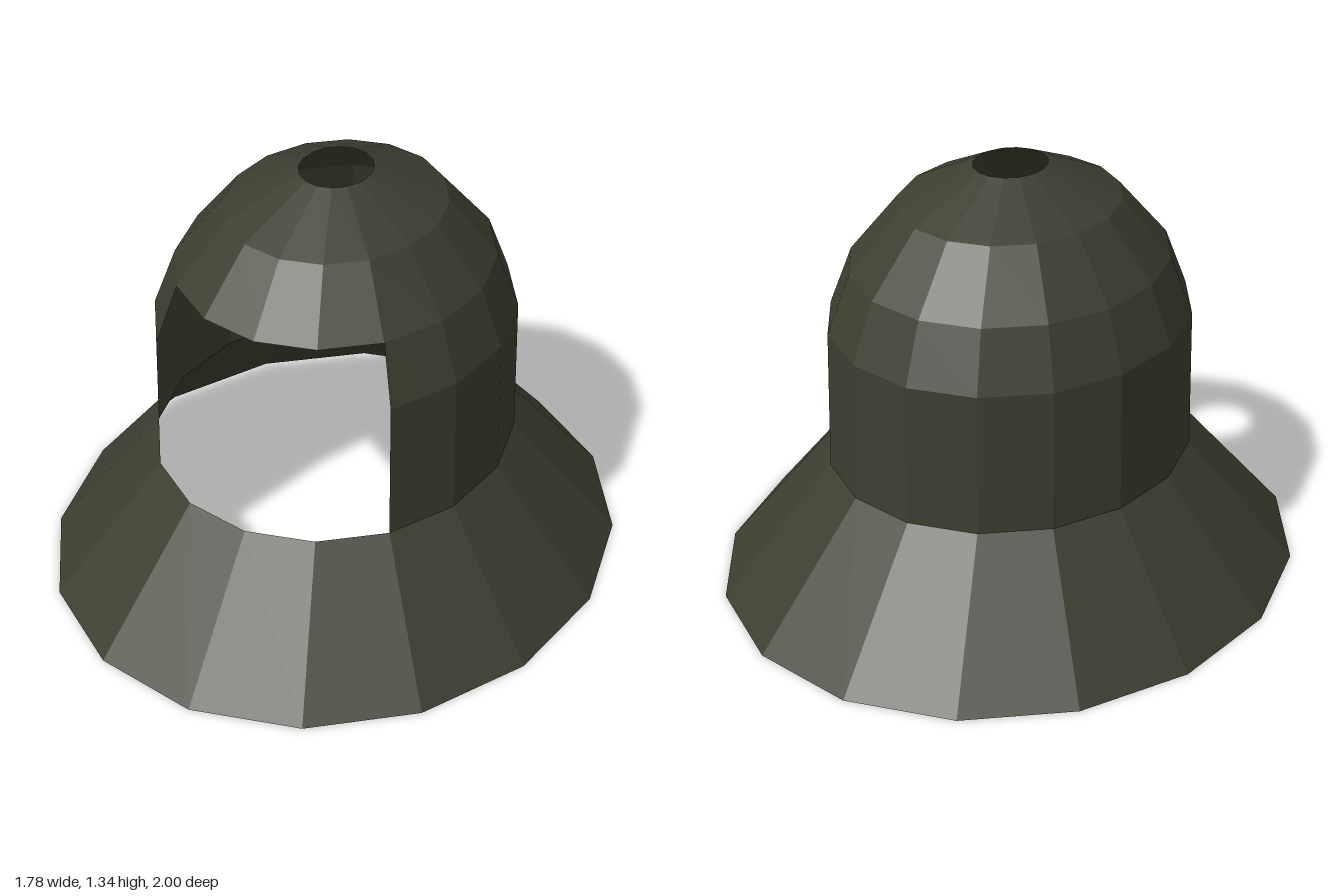
import * as THREE from 'three';

const SIDES = 16;
const STEP = (Math.PI * 2) / SIDES;

export function createModel() {
  const group = new THREE.Group();
  group.name = 'bellShell';

  const darkOlive = new THREE.MeshStandardMaterial({
    color: 0x3b4030, flatShading: true, side: THREE.DoubleSide,
  });
  darkOlive.name = 'dark olive';

  // Open faceted shell turned from [radius, height] pairs; skip = facets left out at the front
  function shell(name, profile, skip = 0) {
    const points = profile.map(([r, y]) => new THREE.Vector2(r, y));
    const count = SIDES - skip;
    const geometry = new THREE.LatheGeometry(points, count, (skip / 2) * STEP, count * STEP);
    geometry.scale(0.89, 1, 1); // slightly narrower than deep
    const mesh = new THREE.Mesh(geometry, darkOlive);
    mesh.name = name;
    group.add(mesh);
  }

  // Flared skirt
  shell('brim', [[1, 0], [0.625, 0.41]]);
  // Walls with the face opening, four facets wide
  shell('wall', [[0.625, 0.41], [0.618, 0.86], [0.542, 1.045]], 4);
  // Rounded crown with a hole at the top
  shell('crown', [[0.542, 1.045], [0.375, 1.23], [0.125, 1.342]]);

  return group;
}
